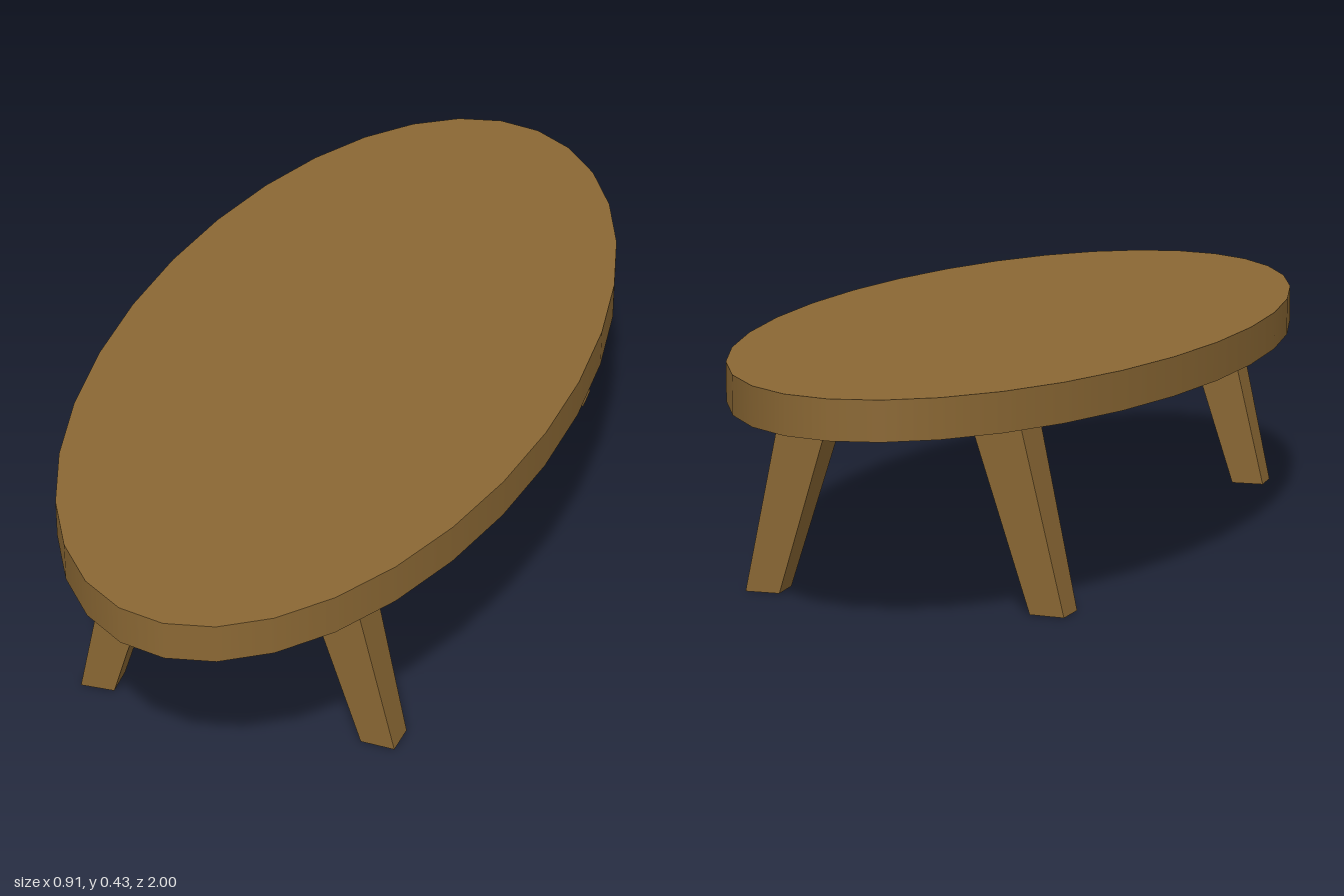
import * as THREE from 'three';

const wood = new THREE.MeshStandardMaterial({ color: 0x8b6834 });
const TOP_Y = 0.36, TOP_H = 0.073;

// Splayed leg: a box tapered toward the floor, leaning outward and turned slightly
function makeLeg(sx, sz) {
  const geo = new THREE.BoxGeometry(1, 1, 1).toNonIndexed();
  const pos = geo.attributes.position;
  const turn = 0.05 * sx * sz;
  const c = Math.cos(turn), s = Math.sin(turn);
  for (let i = 0; i < pos.count; i++) {
    const t = pos.getY(i) + 0.5; // 0 at the floor, 1 under the top
    const x = pos.getX(i) * THREE.MathUtils.lerp(0.066, 0.098, t);
    const z = pos.getZ(i) * THREE.MathUtils.lerp(0.063, 0.091, t);
    pos.setXYZ(
      i,
      sx * THREE.MathUtils.lerp(0.278, 0.181, t) + x * c - z * s,
      TOP_Y * t,
      sz * THREE.MathUtils.lerp(0.633, 0.629, t) + x * s + z * c
    );
  }
  geo.computeVertexNormals();
  return new THREE.Mesh(geo, wood);
}

export function createModel() {
  const table = new THREE.Group();
  table.name = 'ovalTable';

  // Oval top
  const topGeo = new THREE.CylinderGeometry(1, 1, TOP_H, 32);
  topGeo.scale(0.457, 1, 1);
  const top = new THREE.Mesh(topGeo, wood);
  top.name = 'tableTop';
  top.position.y = TOP_Y + TOP_H / 2;
  table.add(top);

  // Four legs, mirrored across both axes
  for (const sx of [1, -1]) {
    for (const sz of [1, -1]) {
      const leg = makeLeg(sx, sz);
      leg.name = (sz > 0 ? 'front' : 'back') + (sx > 0 ? 'Left' : 'Right') + 'Leg';
      table.add(leg);
    }
  }
  return table;
}
